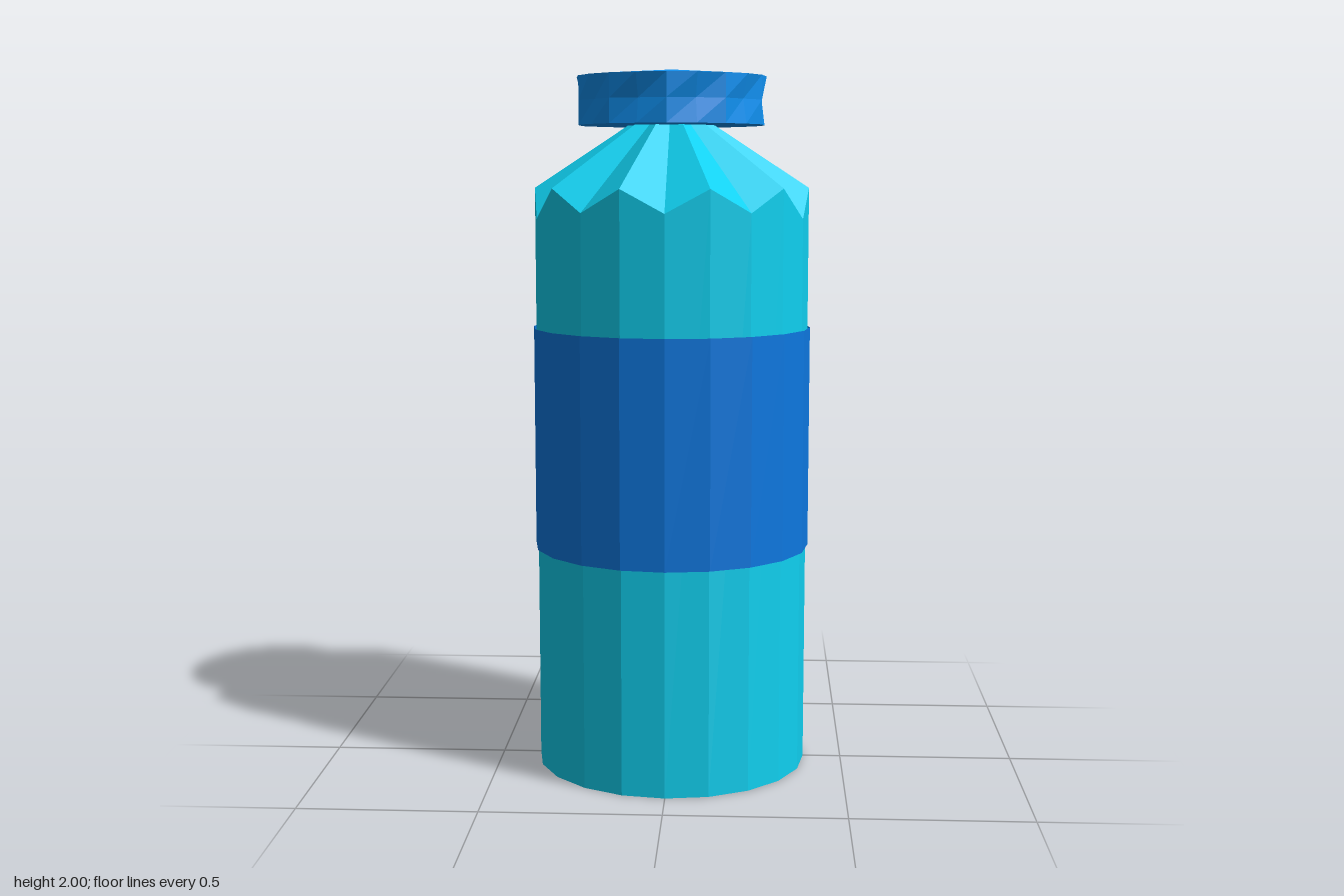
import * as THREE from 'three';

const SIDES = 20;
const material = (color) => new THREE.MeshStandardMaterial({ color, flatShading: true, side: THREE.DoubleSide });

// Faceted, slightly oval cylinder from y0 to y1; rule(v, i) may move each vertex, i counting the sides
function facetedDrum(name, color, rx, rz, y0, y1, rows, open, rule) {
  const geo = new THREE.CylinderGeometry(1, 1, y1 - y0, SIDES, rows, open);
  geo.translate(0, (y0 + y1) / 2, 0);
  const pos = geo.attributes.position;
  const v = new THREE.Vector3();
  for (let k = 0; k < pos.count; k++) {
    v.fromBufferAttribute(pos, k);
    const side = Math.round(Math.atan2(v.x, v.z) / (2 * Math.PI) * SIDES);
    if (rule) rule(v, Math.abs(side), Math.hypot(v.x, v.z) < 0.01);
    pos.setXYZ(k, v.x * rx, v.y, v.z * rz);
  }
  geo.computeVertexNormals();
  const mesh = new THREE.Mesh(geo, material(color));
  mesh.name = name;
  return mesh;
}

export function createModel() {
  const group = new THREE.Group();
  group.name = 'bottle';

  // Body: the rim zigzags and the top fan rises to a pleated shoulder under the cap
  group.add(facetedDrum('body', 0x10d0f0, 0.39, 0.376, 0, 1.67, 1, false, (v, i, centre) => {
    if (v.y < 1) return;
    if (centre) v.y = 1.925;
    else if (i % 2 === 0) v.y = i === 4 || i === 6 ? 1.585 : 1.605;
  }));

  // Label band, just proud of the body
  group.add(facetedDrum('labelBand', 0x0d78e0, 0.397, 0.38, 0.64, 1.275, 1, true));

  // Cap: shallow domed top and a dented grip
  group.add(facetedDrum('cap', 0x1090f0, 0.268, 0.274, 1.845, 1.98, 2, false, (v, i, centre) => {
    if (centre) {
      if (v.y > 1.9) v.y = 2;
    } else if (v.y < 1.95 && i % 2 === 1) {
      const inset = v.y > 1.9 ? 0.94 : 0.98;
      v.x *= inset;
      v.z *= inset;
    }
  }));

  return group;
}
